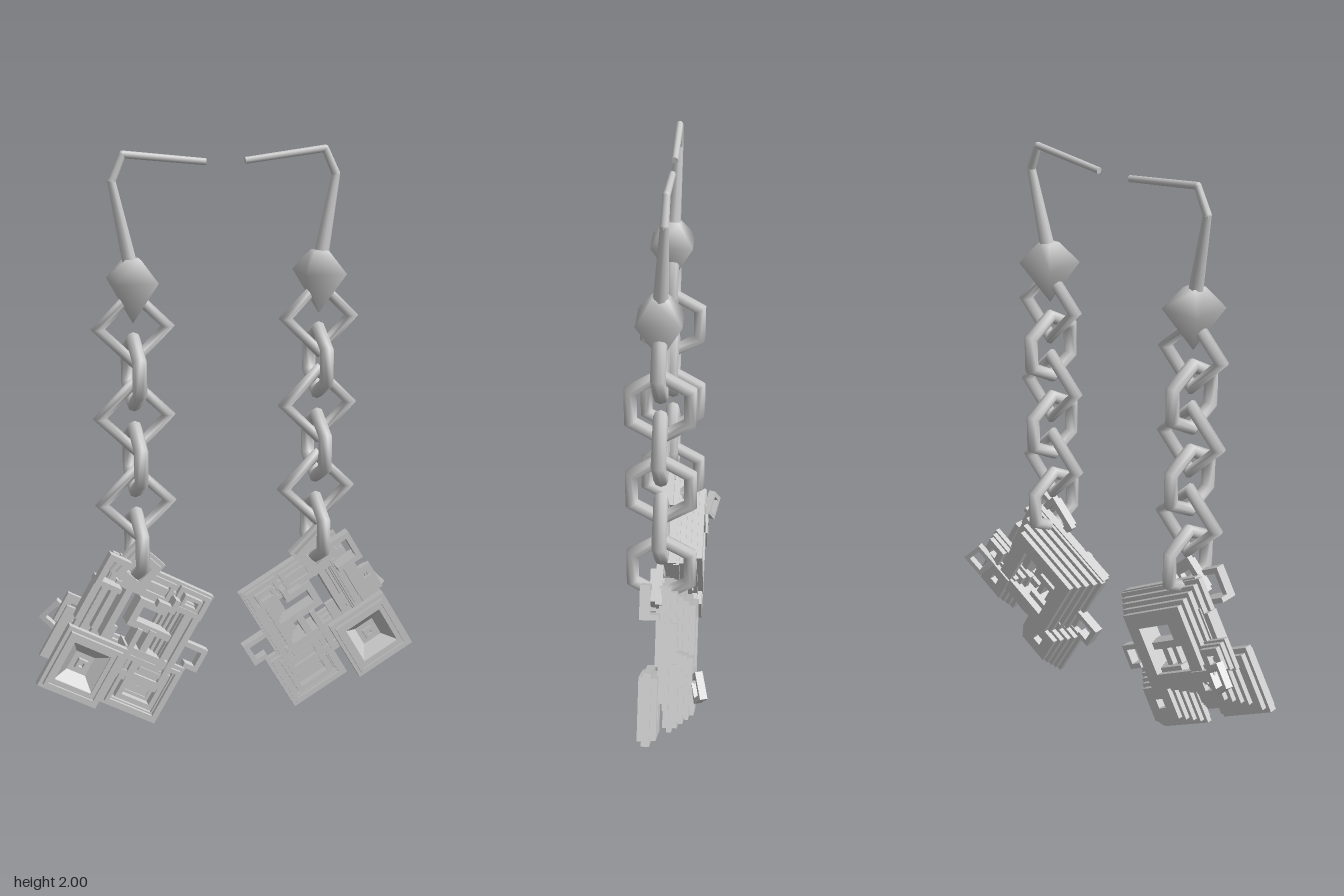
import * as THREE from 'three';

const material = new THREE.MeshStandardMaterial({ color: 0xcccccc });

function add(parent, name, geometry, x = 0, y = 0, z = 0) {
  const mesh = new THREE.Mesh(geometry, material);
  mesh.name = name;
  mesh.position.set(x, y, z);
  parent.add(mesh);
  return mesh;
}

// Tapered round rod between two points
function rod(parent, name, a, b, ra, rb) {
  const dir = b.clone().sub(a);
  const mid = a.clone().add(b).multiplyScalar(0.5);
  const mesh = add(parent, name, new THREE.CylinderGeometry(rb, ra, dir.length(), 8), mid.x, mid.y, mid.z);
  mesh.quaternion.setFromUnitVectors(new THREE.Vector3(0, 1, 0), dir.normalize());
}

// Rectangular frame with a rectangular hole, from z to z + depth
function frame(parent, name, x, y, w, h, wall, z, depth) {
  const rect = (P, a, b) => {
    const p = new P();
    p.moveTo(-a / 2, -b / 2);
    p.lineTo(a / 2, -b / 2);
    p.lineTo(a / 2, b / 2);
    p.lineTo(-a / 2, b / 2);
    p.closePath();
    return p;
  };
  const shape = rect(THREE.Shape, w, h);
  shape.holes.push(rect(THREE.Path, w - 2 * wall, h - 2 * wall));
  return add(parent, name, new THREE.ExtrudeGeometry(shape, { depth, bevelEnabled: false }), x, y, z);
}

// Box given by its local rectangle and its z range
function bar(parent, name, x0, x1, y0, y1, z0, z1) {
  return add(parent, name, new THREE.BoxGeometry(x1 - x0, y1 - y0, z1 - z0),
    (x0 + x1) / 2, (y0 + y1) / 2, (z0 + z1) / 2);
}

// Frames stacked towards the back, each smaller than the last
function steppedStack(parent, name, x, y, size, wall, zFront, steps, depth, shrink, inset) {
  for (let i = 0; i < steps; i++) {
    const s = size - i * shrink;
    frame(parent, name, x, y, s, s, wall + i * inset, zFront - (i + 1) * depth, depth);
  }
}

function createPendant() {
  const p = new THREE.Group();
  p.name = 'pendant';

  // Main open frame, stepped towards the back
  steppedStack(p, 'mainFrame', 0.025, 0.045, 0.4, 0.07, 0.005, 5, 0.02, 0.03, -0.004);
  frame(p, 'mainFrameRim', 0.02, 0.05, 0.37, 0.37, 0.02, 0.005, 0.014);
  frame(p, 'mainFrameInnerRim', 0.02, 0.06, 0.29, 0.27, 0.018, 0.005, 0.02);

  // Crossbars inside the main opening
  bar(p, 'innerBar', -0.11, 0.06, 0.035, 0.06, -0.05, 0.015);
  bar(p, 'innerBar', 0.035, 0.06, 0.035, 0.14, -0.05, 0.015);
  bar(p, 'innerBar', -0.05, 0.06, 0.115, 0.14, -0.03, 0.015);
  bar(p, 'innerBar', -0.05, -0.025, -0.12, 0.05, -0.04, 0.022);
  bar(p, 'innerBar', 0.0, 0.02, -0.13, 0.04, -0.04, 0.028);
  bar(p, 'innerBar', 0.1, 0.125, -0.04, 0.17, -0.04, 0.022);
  bar(p, 'innerBar', -0.14, 0.03, -0.055, -0.03, -0.06, 0.025);

  // Upper plate with nested rectangles
  frame(p, 'upperPlate', 0.015, 0.2, 0.37, 0.1, 0.02, -0.005, 0.03);
  frame(p, 'upperPlateRim', -0.1, 0.2, 0.12, 0.085, 0.016, 0.02, 0.02);
  frame(p, 'upperPlateInset', -0.1, 0.2, 0.07, 0.045, 0.012, 0.005, 0.045);
  frame(p, 'upperPlateRim', 0.03, 0.2, 0.11, 0.075, 0.016, 0.02, 0.018);
  bar(p, 'upperPlateBar', -0.04, 0.19, 0.195, 0.21, 0.0, 0.03);
  bar(p, 'upperPlateTab', -0.05, 0.02, 0.15, 0.172, 0.045, 0.08);
  bar(p, 'upperPlateTab', -0.05, -0.03, 0.15, 0.2, 0.02, 0.08);

  // Right-hand stepped rails and the hooked corner
  for (let i = 0; i < 3; i++) {
    bar(p, 'sideRail', 0.155 + i * 0.028, 0.175 + i * 0.028, -0.02, 0.17 - i * 0.02, -0.04, 0.035 - i * 0.015);
  }
  bar(p, 'cornerHook', 0.175, 0.255, 0.235, 0.254, 0.05, 0.085);
  bar(p, 'cornerHook', 0.238, 0.257, 0.15, 0.254, 0.05, 0.085);
  bar(p, 'cornerHook', 0.16, 0.257, 0.14, 0.158, 0.02, 0.085);

  // Small diamond frames around the last chain link
  for (const [size, z] of [[0.135, 0.015], [0.11, 0.035]]) {
    frame(p, 'chainFrame', 0.131, 0.236, size, size, 0.024, z, 0.022).rotation.z = Math.PI / 12;
  }

  // Recessed square in front: rims, sloping funnel, floor and stud
  frame(p, 'frontSquare', 0.143, -0.15, 0.226, 0.236, 0.022, 0.04, 0.027);
  frame(p, 'frontSquareRim', 0.143, -0.15, 0.2, 0.208, 0.013, 0.067, 0.015);
  frame(p, 'frontSquareInnerRim', 0.143, -0.15, 0.18, 0.186, 0.02, 0.035, 0.038);
  frame(p, 'frontSquareBack', 0.143, -0.15, 0.2, 0.2, 0.04, 0.02, 0.02);
  const funnel = new THREE.CylinderGeometry(0.072 * Math.SQRT2, 0.035 * Math.SQRT2, 0.04, 4, 1, true, Math.PI / 4)
    .rotateX(Math.PI / 2).toNonIndexed();
  funnel.computeVertexNormals();
  const funnelMesh = add(p, 'frontSquareFunnel', funnel, 0.143, -0.15, 0.05);
  funnelMesh.material = material.clone();
  funnelMesh.material.side = THREE.DoubleSide;
  bar(p, 'frontSquareFloor', 0.103, 0.183, -0.19, -0.11, 0.018, 0.031);
  frame(p, 'frontSquareStud', 0.143, -0.15, 0.036, 0.036, 0.01, 0.03, 0.018);

  // Lower square: raised rims in front, steps behind
  steppedStack(p, 'lowerSquare', -0.107, -0.148, 0.226, 0.032, 0.0, 5, 0.018, 0.026, 0.003);
  frame(p, 'lowerSquareRim', -0.107, -0.148, 0.2, 0.2, 0.014, 0, 0.014);
  frame(p, 'lowerSquareInset', -0.107, -0.148, 0.145, 0.145, 0.018, -0.02, 0.03);
  frame(p, 'lowerSquareCore', -0.107, -0.148, 0.09, 0.09, 0.026, -0.09, 0.06);
  bar(p, 'lowerSquareBar', -0.15, -0.06, -0.1, -0.085, -0.03, 0.015);

  // Open bracket on the left edge
  bar(p, 'sideBracket', -0.262, -0.16, 0.042, 0.06, -0.03, 0.005);
  bar(p, 'sideBracket', -0.262, -0.244, -0.03, 0.06, -0.03, 0.005);
  bar(p, 'sideBracket', -0.262, -0.205, -0.03, -0.012, -0.03, 0.005);

  // Rear stepped square and the tilted ring jutting from it
  steppedStack(p, 'rearSquare', 0.165, -0.1, 0.2, 0.04, -0.03, 4, 0.018, 0.03, 0);
  steppedStack(p, 'rearSideSquare', 0.225, -0.015, 0.11, 0.025, -0.04, 3, 0.018, 0.015, 0);
  const ring = frame(p, 'rearRing', 0.245, -0.085, 0.09, 0.09, 0.017, -0.125, 0.025);
  ring.position.y = -0.07;
  ring.rotation.set(0.15, 0.3, 0.25);
  return p;
}

function createEarring() {
  const g = new THREE.Group();
  const cx = 0.315, cz = 0.022;

  // Bent ear wire, thickening towards the bead
  const pts = [[0.065, 1.957, 0], [0.335, 1.988, 0], [0.372, 1.905, 0.004], [0.32, 1.64, 0.02]]
    .map((a) => new THREE.Vector3(...a));
  const radii = [0.011, 0.012, 0.014, 0.025];
  for (let i = 0; i < 3; i++) {
    rod(g, 'earWire', pts[i], pts[i + 1], radii[i], radii[i + 1]);
    if (i) add(g, 'earWireBend', new THREE.SphereGeometry(radii[i], 8, 6), pts[i].x, pts[i].y, pts[i].z);
  }

  // Four-sided bead
  const profile = [[0, 1.45], [0.101, 1.59], [0.035, 1.66], [0, 1.665]].map((a) => new THREE.Vector2(...a));
  add(g, 'bead', new THREE.LatheGeometry(profile, 4, Math.PI / 4), cx, 0, cz);

  // Chain of alternating diamond and hexagon links
  for (let i = 0; i < 3; i++) {
    add(g, 'diamondLink', new THREE.TorusGeometry(0.115, 0.024, 8, 4), cx, 1.437 - i * 0.298, cz);
    const hex = new THREE.TorusGeometry(0.109, 0.024, 8, 6).rotateZ(Math.PI / 2).rotateY(Math.PI / 2);
    add(g, 'hexagonLink', hex, cx, 1.289 - i * 0.298, cz);
  }

  // Pendant hangs turned by thirty degrees
  const pendant = createPendant();
  pendant.position.set(0.32, 0.34, 0);
  pendant.rotation.z = Math.PI / 6;
  g.add(pendant);
  return g;
}

export function createModel() {
  const model = new THREE.Group();
  model.name = 'earrings';
  const left = createEarring();
  left.name = 'leftEarring';
  const right = createEarring();
  right.name = 'rightEarring';
  right.scale.x = -1;
  model.add(left, right);
  return model;
}
